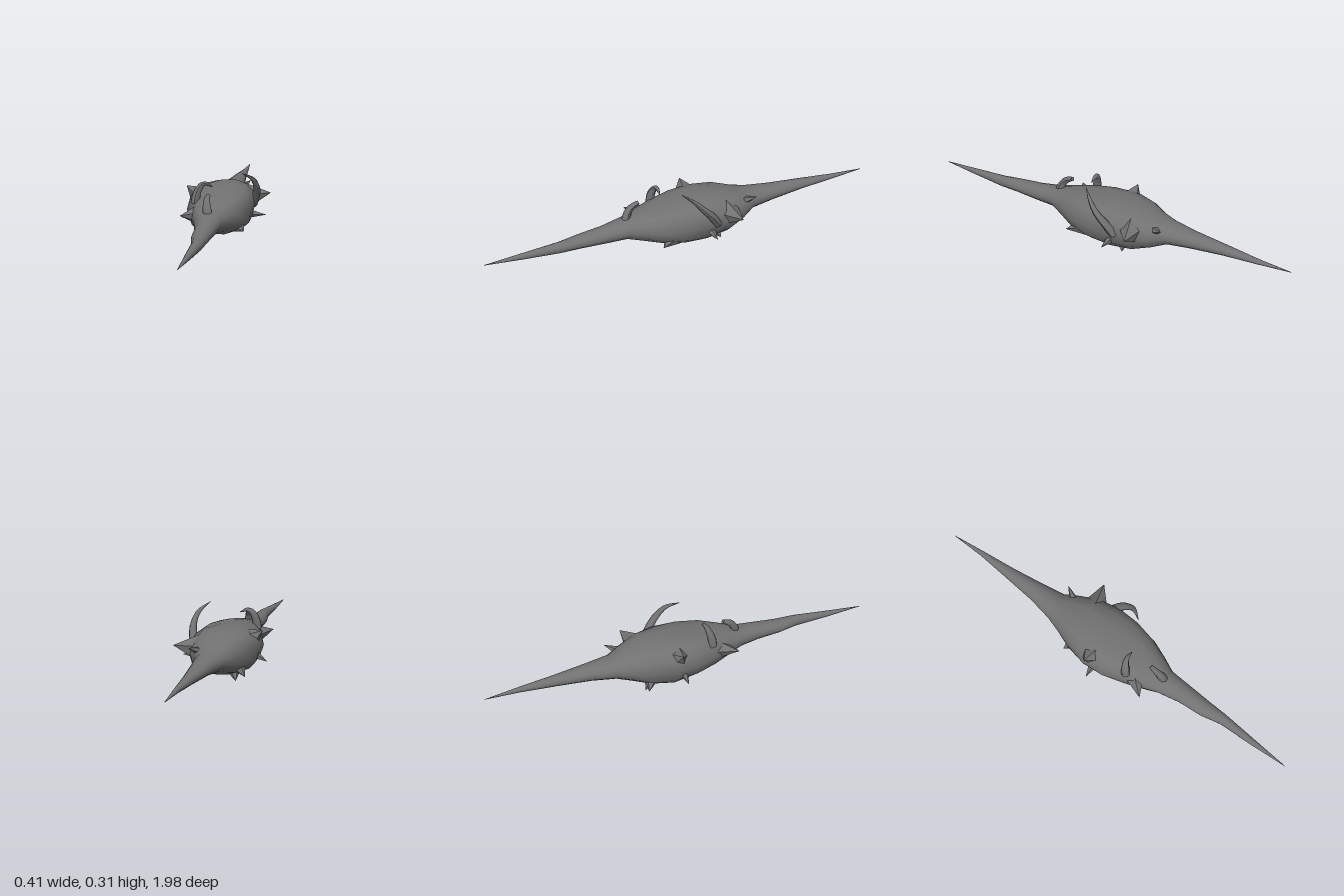
import * as THREE from 'three';

const shell = new THREE.MeshStandardMaterial({ color: 0x727272, side: THREE.DoubleSide });
shell.name = 'grey shell';

const V = (p) => new THREE.Vector3(...p);

// Body stations: z, left x, right x, bottom y, top y, squareness
const STATIONS = [
  [0.985, -0.041, -0.039, 0.084, 0.086, 1],
  [0.8, -0.045, -0.015, 0.075, 0.105, 1],
  [0.62, -0.045, 0.008, 0.07, 0.125, 1],
  [0.52, -0.065, 0.017, 0.07, 0.132, 1],
  [0.4, -0.07, 0.028, 0.067, 0.148, 1],
  [0.29, -0.09, 0.038, 0.064, 0.165, 1],
  [0.22, -0.115, 0.075, 0.048, 0.185, 0.9],
  [0.13, -0.14, 0.118, 0.024, 0.207, 0.8],
  [0.02, -0.172, 0.145, 0.012, 0.222, 0.75],
  [-0.09, -0.18, 0.15, 0.01, 0.232, 0.75],
  [-0.2, -0.15, 0.138, 0.018, 0.226, 0.8],
  [-0.29, -0.11, 0.1, 0.05, 0.2, 0.9],
  [-0.36, -0.085, 0.06, 0.08, 0.185, 1],
  [-0.48, -0.058, 0.043, 0.098, 0.176, 1],
  [-0.65, -0.035, 0.025, 0.116, 0.166, 1],
  [-0.82, -0.012, 0.014, 0.13, 0.156, 1],
  [-0.99, -0.001, 0.001, 0.144, 0.146, 1],
];

// Loft of rounded cross-sections along z
function bodyGeometry() {
  const n = 14, pos = [], idx = [];
  const soften = (v, e) => Math.sign(v) * Math.abs(v) ** e;
  STATIONS.forEach(([z, l, r, b, t, e], s) => {
    for (let k = 0; k < n; k++) {
      const a = (k / n) * Math.PI * 2;
      // slight facet-to-facet lumpiness on the wide middle only
      const lump = 1 - 0.05 * (1 - e) * 4 * (0.5 + 0.5 * Math.sin(k * 2.3 + s * 1.7));
      pos.push(
        (l + r) / 2 + ((r - l) / 2) * soften(Math.cos(a), e) * lump,
        (b + t) / 2 + ((t - b) / 2) * soften(Math.sin(a), e) * lump,
        z,
      );
      if (s < STATIONS.length - 1) {
        const i = s * n + k, j = s * n + ((k + 1) % n);
        idx.push(i, i + n, j, j, i + n, j + n);
      }
    }
  });
  const g = new THREE.BufferGeometry();
  g.setAttribute('position', new THREE.Float32BufferAttribute(pos, 3));
  g.setIndex(idx);
  g.computeVertexNormals();
  return g;
}

// Curved horn: a tube narrowed from its root to its tip
function hornGeometry(points, radius, tipScale) {
  const curve = new THREE.CatmullRomCurve3(points.map(V));
  const g = new THREE.TubeGeometry(curve, 12, radius, 7);
  const p = g.attributes.position, v = new THREE.Vector3();
  for (let i = 0; i < p.count; i++) {
    const u = g.attributes.uv.getX(i);
    const c = curve.getPointAt(u);
    const k = 1 - (1 - tipScale) * u ** 1.8;
    v.fromBufferAttribute(p, i).sub(c).multiplyScalar(k).add(c);
    p.setXYZ(i, v.x, v.y, v.z);
  }
  g.computeVertexNormals();
  return g;
}

// Pointed thorn from a base point inside the shell to a tip
function thornGeometry(base, tip, radius) {
  const a = V(base), d = V(tip).sub(a), len = d.length();
  const g = new THREE.ConeGeometry(radius, len, 5).toNonIndexed();
  g.translate(0, len / 2, 0);
  g.applyQuaternion(new THREE.Quaternion().setFromUnitVectors(new THREE.Vector3(0, 1, 0), d.normalize()));
  g.translate(a.x, a.y, a.z);
  g.computeVertexNormals();
  return g;
}

export function createModel() {
  const model = new THREE.Group();
  model.name = 'spinyShell';
  const add = (name, geometry) => {
    const m = new THREE.Mesh(geometry, shell);
    m.name = name;
    model.add(m);
  };

  add('spindleBody', bodyGeometry());

  // Horns
  add('leftHorn', hornGeometry(
    [[0.13, 0.12, -0.13], [0.15, 0.18, -0.09], [0.157, 0.225, -0.05], [0.145, 0.268, -0.01], [0.1, 0.307, 0.045]], 0.022, 0.04));
  add('rightHorn', hornGeometry(
    [[-0.115, 0.17, 0.12], [-0.108, 0.215, 0.115], [-0.092, 0.25, 0.105], [-0.072, 0.264, 0.1], [-0.033, 0.249, 0.1]], 0.022, 0.1));
  add('frontHorn', hornGeometry(
    [[-0.025, 0.09, 0.26], [-0.026, 0.14, 0.28], [-0.034, 0.19, 0.268], [-0.037, 0.215, 0.245], [-0.036, 0.232, 0.21]], 0.025, 0.4));

  // Thorns and angular shoulders: base, tip, radius
  const thorns = [
    ['leftRearThorn', [0.09, 0.145, -0.2], [0.206, 0.157, -0.23], 0.065],
    ['leftSideThorn', [0.12, 0.08, -0.1], [0.2, 0.075, -0.1], 0.022],
    ['leftFrontThorn', [0.07, 0.07, 0.07], [0.123, 0.05, 0.15], 0.05],
    ['leftTailThorn', [0.05, 0.16, -0.3], [0.09, 0.19, -0.36], 0.025],
    ['rightShoulder', [-0.1, 0.15, -0.07], [-0.188, 0.215, -0.07], 0.08],
    ['rightSideThorn', [-0.14, 0.09, -0.05], [-0.207, 0.056, -0.05], 0.024],
    ['rightFrontThorn', [-0.09, 0.125, 0.16], [-0.167, 0.135, 0.237], 0.05],
    ['rightRearThorn', [-0.09, 0.09, -0.19], [-0.145, 0.03, -0.23], 0.05],
    ['lowerRearThorn', [-0.08, 0.05, -0.19], [-0.1, 0.006, -0.23], 0.035],
    ['lowerMiddleThorn', [-0.02, 0.04, -0.05], [-0.02, 0.001, -0.06], 0.05],
    ['lowerLeftThorn', [0.07, 0.06, -0.14], [0.108, 0.02, -0.16], 0.04],
  ];
  thorns.forEach(([name, base, tip, radius]) => add(name, thornGeometry(base, tip, radius)));

  return model;
}
